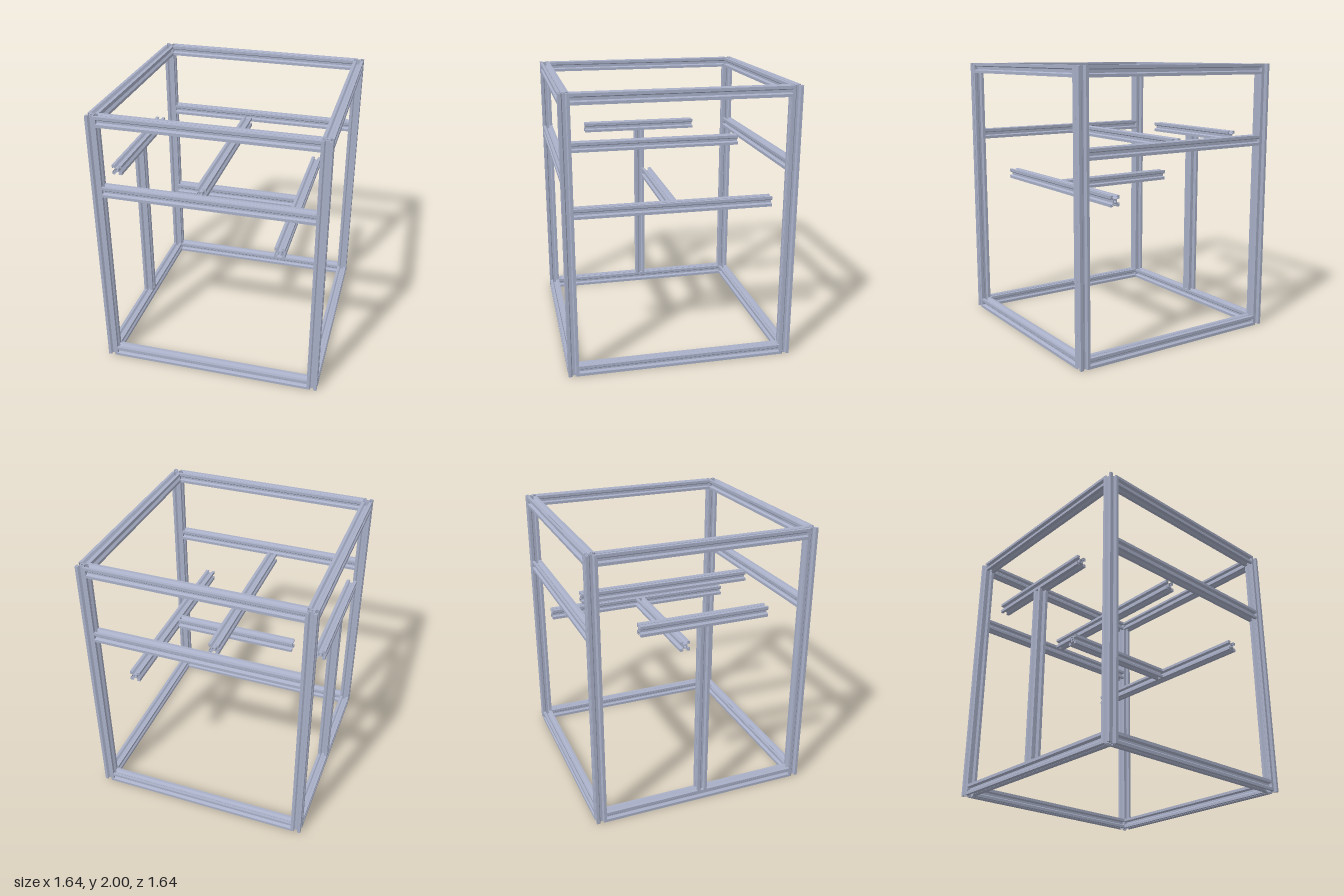
import * as THREE from 'three';

const S = 0.0755;        // width of the extrusion profile
const H = S / 2;
const C = 0.782;         // corner post offset
const IN = C - H;        // inner face of the posts
const LOW = H, TOP = 2 - H, MID = 1.44, ARM = 1.103;

// Slotted profile: one side, repeated four times around a bored core
function profileShape() {
  const side = [
    [10, -10], [10, -4.6], [8.2, -2.9], [8.2, -5.5], [6.6, -5.5], [3.9, -2.8],
    [3.9, 2.8], [6.6, 5.5], [8.2, 5.5], [8.2, 2.9], [10, 4.6],
  ];
  const k = S / 20;
  const points = [];
  for (let q = 0; q < 4; q++) {
    for (const [x, y] of side) {
      points.push(new THREE.Vector2(x * k, y * k).rotateAround(new THREE.Vector2(), q * Math.PI / 2));
    }
  }
  const shape = new THREE.Shape(points);
  shape.holes.push(new THREE.Path().absarc(0, 0, 2.5 * k, 0, Math.PI * 2, true));
  return shape;
}

export function createModel() {
  const model = new THREE.Group();
  const aluminium = new THREE.MeshStandardMaterial({ color: 0xa9b0c8 });
  aluminium.name = 'aluminium';
  const shape = profileShape();

  // A length of profile along one axis, centred on a point
  function rail(name, axis, length, x, y, z) {
    const geometry = new THREE.ExtrudeGeometry(shape, { depth: length, bevelEnabled: false, curveSegments: 14 });
    geometry.translate(0, 0, -length / 2);
    if (axis === 'x') geometry.rotateY(Math.PI / 2);
    if (axis === 'y') geometry.rotateX(-Math.PI / 2);
    const mesh = new THREE.Mesh(geometry, aluminium);
    mesh.name = name;
    mesh.position.set(x, y, z);
    model.add(mesh);
  }

  // Outer frame
  for (const s of [-1, 1]) {
    for (const t of [-1, 1]) rail('cornerPost', 'y', 2, s * C, 1, t * C);
    for (const y of [LOW, TOP]) {
      rail('crossRail', 'x', IN * 2, 0, y, s * C);
      rail('sideRail', 'z', IN * 2, s * C, y, 0);
    }
    rail('middleRail', 'x', IN * 2, 0, MID, s * C);
  }

  // T-shaped stand on the right side
  const standTop = MID - H;
  rail('standPost', 'y', standTop - S, -C, (standTop + S) / 2, 0);
  rail('standBar', 'z', 0.94, -C, MID, 0);

  // Gantry bar
  rail('gantryBar', 'z', 1.32, -0.084, MID, 0);

  // Bed support: long rail with an arm butted against it
  const bedX = 0.497;
  const armEnd = bedX - H, armStart = -0.47;
  rail('bedRail', 'z', IN * 2, bedX, ARM, 0);
  rail('bedArm', 'x', armEnd - armStart, (armEnd + armStart) / 2, ARM, 0);

  return model;
}
